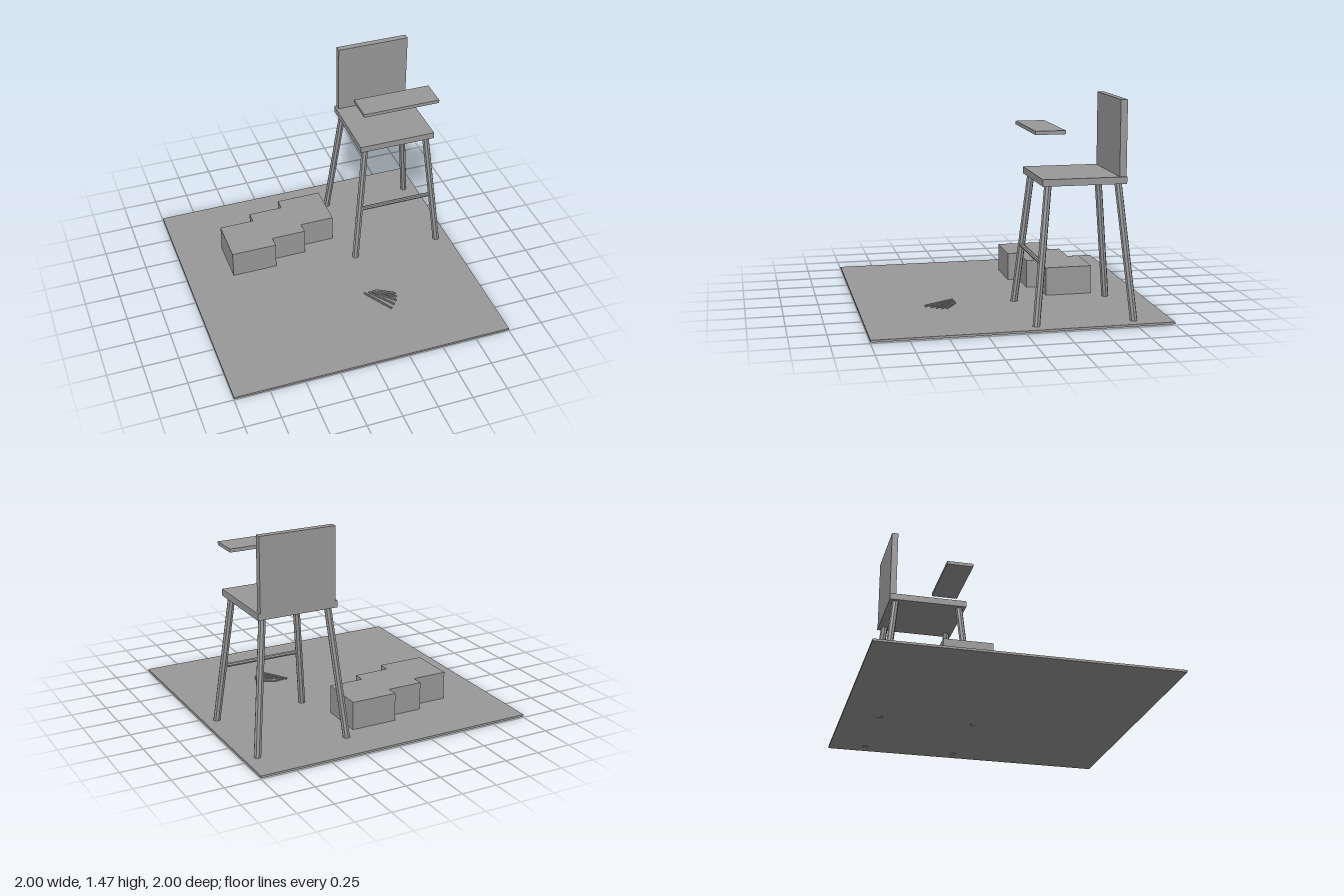
import * as THREE from 'three';

export function createModel() {
  const model = new THREE.Group();
  const grey = new THREE.MeshStandardMaterial({ color: 0x999999 });
  grey.name = 'plain grey';

  const add = (name, geometry) => {
    const mesh = new THREE.Mesh(geometry, grey);
    mesh.name = name;
    model.add(mesh);
    return mesh;
  };
  // Box given by its lower and upper corners
  const box = (name, a, b) => {
    const mesh = add(name, new THREE.BoxGeometry(b[0] - a[0], b[1] - a[1], b[2] - a[2]));
    mesh.position.set((a[0] + b[0]) / 2, (a[1] + b[1]) / 2, (a[2] + b[2]) / 2);
  };
  // Faceted round bar between two points
  const rod = (name, from, to, radius, sides = 8) => {
    const a = new THREE.Vector3(...from), b = new THREE.Vector3(...to);
    const dir = b.clone().sub(a);
    const geometry = new THREE.CylinderGeometry(radius, radius, dir.length(), sides).toNonIndexed();
    geometry.computeVertexNormals();
    const mesh = add(name, geometry);
    mesh.position.copy(a).add(b).multiplyScalar(0.5);
    mesh.quaternion.setFromUnitVectors(new THREE.Vector3(0, 1, 0), dir.normalize());
  };

  // Floor slab
  box('floor', [-1, 0.006, -1], [1, 0.021, 1]);

  // High chair: seat, backrest and tray
  box('seat', [0.3, 0.926, -0.698], [0.862, 0.972, -0.136]);
  box('backrest', [0.316, 0.972, -0.698], [0.846, 1.473, -0.652]);
  box('tray', [0.3, 1.261, -0.283], [0.862, 1.285, -0.085]);

  // Splayed legs and the front footrest
  const cx = 0.581, cz = -0.416;
  for (const sx of [-1, 1]) for (const sz of [-1, 1]) {
    rod(sz > 0 ? 'frontLeg' : 'backLeg',
      [cx + sx * 0.327, 0.003, cz + sz * 0.331],
      [cx + sx * 0.232, 0.93, cz + sz * 0.235], 0.025);
  }
  rod('footrest', [0.3, 0.425, -0.13], [0.862, 0.425, -0.13], 0.015);

  // Stepped row of three joined blocks, drawn in plan (x, -z)
  const outline = [
    [-0.665, 0.175], [-0.337, 0.175], [-0.337, 0.257], [-0.087, 0.257], [-0.087, 0.34], [0.162, 0.34],
    [0.162, 0.667], [-0.165, 0.667], [-0.165, 0.585], [-0.415, 0.585], [-0.415, 0.502], [-0.665, 0.502],
  ];
  const plan = new THREE.Shape(outline.map(([x, y]) => new THREE.Vector2(x, y)));
  const blocks = add('steppedBlocks', new THREE.ExtrudeGeometry(plan, { depth: 0.199, bevelEnabled: false }));
  blocks.rotation.x = -Math.PI / 2;
  blocks.position.y = 0.021;

  // Fan of short sticks on the floor: start x, end x, end z
  const sticks = [
    [0.17, 0.297, 0.543], [0.204, 0.33, 0.508], [0.232, 0.358, 0.475],
    [0.25, 0.373, 0.44], [0.258, 0.381, 0.407],
  ];
  for (const [x0, x1, z1] of sticks) rod('stick', [x0, 0.03, 0.332], [x1, 0.03, z1], 0.008);

  return model;
}
